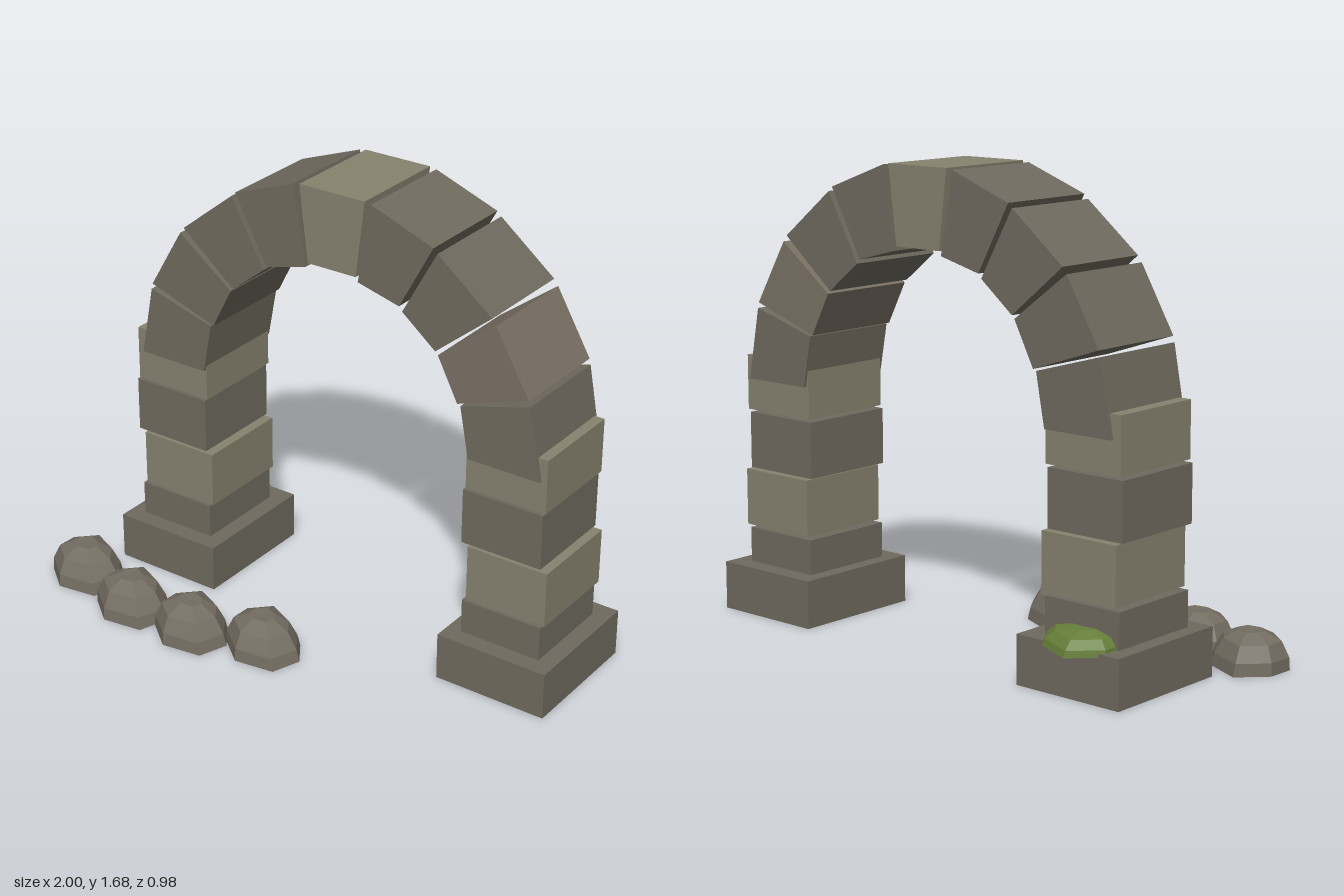
import * as THREE from 'three';

const MID_X = 0.077, MID_Z = -0.168;
const stone = (color) => new THREE.MeshStandardMaterial({ color, flatShading: true, roughness: 0.95 });
const DARK = stone(0x6f6a5e), LIGHT = stone(0x86826f), WARM = stone(0x7a7164);
const ROCK = stone(0x736c61), MOSS = stone(0x66803a);

function add(parent, name, geometry, material, x, y, z) {
  const mesh = new THREE.Mesh(geometry, material);
  mesh.name = name;
  mesh.position.set(x, y, z);
  parent.add(mesh);
  return mesh;
}

// Wedge-shaped arch stone from its four front corners
function wedge(corners) {
  const shape = new THREE.Shape(corners.map(([x, y]) => new THREE.Vector2(x, y)));
  return new THREE.ExtrudeGeometry(shape, { depth: 0.386, bevelEnabled: false }).translate(0, 0, -0.193);
}

// Seven-sided faceted boulder: one irregular outline, shrinking towards a flattish top
function boulder() {
  const outline = [[-0.048, -0.139], [-0.139, -0.048], [-0.144, 0.053], [-0.037, 0.139],
    [0.112, 0.118], [0.15, 0.011], [0.091, -0.075]];
  const profile = [[0, 0], [1, 0], [0.95, 0.045], [0.74, 0.1], [0.32, 0.13], [0, 0.127]];
  const geo = new THREE.LatheGeometry(profile.map(([r, y]) => new THREE.Vector2(r, y)), 7);
  const pos = geo.attributes.position;
  for (let i = 0; i < pos.count; i++) {
    const [ox, oz] = outline[Math.floor(i / profile.length) % 7];
    const [r, y] = profile[i % profile.length];
    pos.setXYZ(i, ox * r - y * 0.12, y, oz * r);
  }
  geo.computeVertexNormals();
  return geo;
}

export function createModel() {
  const model = new THREE.Group();
  model.name = 'stoneArch';

  // Piers: a plinth and four slightly shifted courses on each side
  const courses = [[0.175, 0.303, 0, DARK], [0.313, 0.52, 0.016, LIGHT],
    [0.53, 0.735, -0.01, DARK], [0.745, 0.945, 0, LIGHT]];
  for (const [side, px, cx] of [['right', -0.63, -0.634], ['left', 0.785, 0.78]]) {
    const pier = new THREE.Group();
    pier.name = side + 'Pier';
    model.add(pier);
    add(pier, 'plinth', new THREE.BoxGeometry(0.43, 0.175, 0.5), DARK, px, 0.0875, -0.17);
    courses.forEach(([y0, y1, dx, mat], i) =>
      add(pier, 'course' + (i + 1), new THREE.BoxGeometry(0.312, y1 - y0, 0.365), mat,
        cx + dx, (y0 + y1) / 2, MID_Z));
  }

  // Arch ring: four stones mirrored about the keystone
  const arch = new THREE.Group();
  arch.name = 'archRing';
  model.add(arch);
  const stones = [
    [[-0.76, 0.861], [-0.481, 0.861], [-0.446, 1.048], [-0.711, 1.123]],
    [[-0.706, 1.144], [-0.433, 1.053], [-0.353, 1.208], [-0.572, 1.374]],
    [[-0.556, 1.396], [-0.342, 1.219], [-0.209, 1.326], [-0.342, 1.567]],
    [[-0.326, 1.583], [-0.196, 1.342], [-0.03, 1.385], [-0.08, 1.674]],
  ];
  stones.forEach((corners, i) => {
    add(arch, 'rightArchStone' + (i + 1), wedge(corners), DARK, 0, 0, MID_Z);
    const mirrored = corners.map(([x, y]) => [2 * MID_X - x, y]);
    add(arch, 'leftArchStone' + (i + 1), wedge(mirrored), i === 1 ? WARM : DARK, 0, 0, MID_Z);
  });
  add(arch, 'keystone', wedge([[-0.021, 1.401], [0.175, 1.401], [0.209, 1.679], [-0.055, 1.679]]),
    LIGHT, 0, 0, MID_Z);

  // Row of boulders in front
  const rockGeo = boulder();
  [[-0.856, 0.257], [-0.572, 0.337], [-0.294, 0.342], [-0.023, 0.272]].forEach(([x, z], i) =>
    add(model, 'boulder' + (i + 1), rockGeo, ROCK, x, 0, z));

  // Flat moss clump behind the right pier
  add(model, 'mossClump', rockGeo, MOSS, -0.63, 0.163, -0.353).scale.set(1.06, 0.52, 1.06);

  return model;
}
